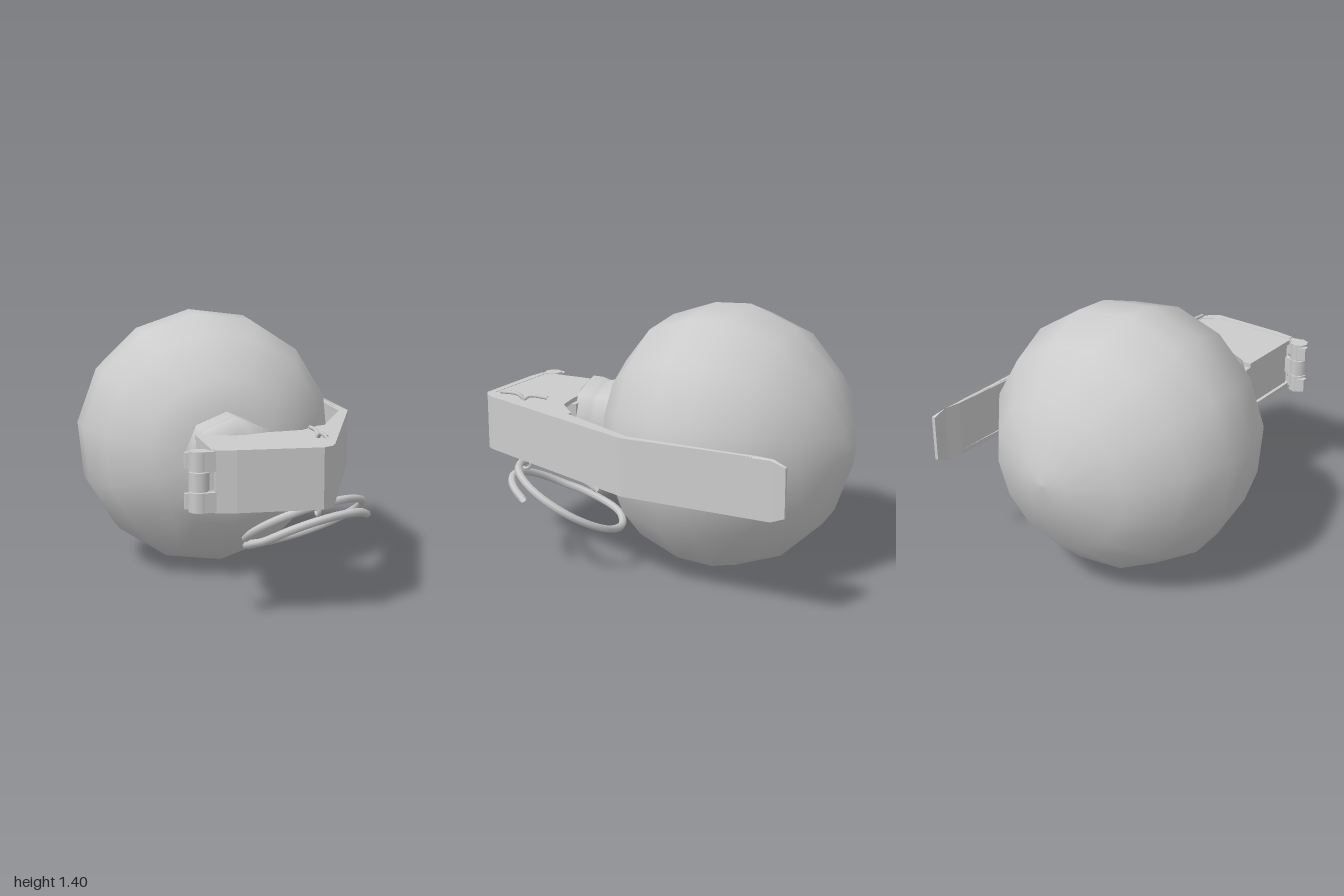
import * as THREE from 'three';

const MID_Y = 0.705; // height of the lever's centre line
const material = new THREE.MeshStandardMaterial({ color: 0xcccccc, side: THREE.DoubleSide });

function add(parent, name, geometry) {
  const mesh = new THREE.Mesh(geometry, material);
  mesh.name = name;
  parent.add(mesh);
  return mesh;
}

// Extrudes an (x, z) plan outline between two heights
function slab(points, y0, y1) {
  const shape = new THREE.Shape(points.map(p => new THREE.Vector2(...p)));
  const g = new THREE.ExtrudeGeometry(shape, { depth: y1 - y0, bevelEnabled: false });
  return g.rotateX(Math.PI / 2).translate(0, y1, 0);
}

// Turns an (r, z) profile about the z axis
function turned(points, sides, phase) {
  const g = new THREE.LatheGeometry(points.map(p => new THREE.Vector2(...p)), sides, phase);
  return g.rotateX(Math.PI / 2).translate(-0.04, 0.703, 0);
}

function rod(points, radius, segments = 12, sides = 6) {
  const curve = new THREE.CatmullRomCurve3(points.map(p => new THREE.Vector3(...p)));
  return new THREE.TubeGeometry(curve, segments, radius, sides);
}

export function createModel() {
  const model = new THREE.Group();
  model.name = 'sphereWithLever';

  // Faceted, smooth-shaded round body
  add(model, 'body', turned([
    [0, -1], [0.13, -0.985], [0.4, -0.875], [0.61, -0.655], [0.705, -0.4],
    [0.695, -0.2], [0.61, 0.045], [0.4, 0.225], [0.22, 0.29], [0, 0.29],
  ], 14, 0.1));

  // Octagonal neck with a shallow groove, tapering into the head
  add(model, 'neck', turned([
    [0.225, 0.26], [0.225, 0.37], [0.215, 0.4], [0.215, 0.43],
    [0.23, 0.45], [0.23, 0.51], [0.16, 0.58], [0, 0.58],
  ], 8, 0));

  // Block under the lever
  add(model, 'head', slab([[-0.24, 0.5], [0.17, 0.5], [0.24, 0.62], [0.24, 0.9],
    [-0.2, 0.95], [-0.24, 0.92]], 0.59, 0.82));

  // Lever: bent strip with chamfered tip
  const lever = new THREE.Group();
  lever.name = 'lever';
  model.add(lever);
  const strip = slab([
    [-0.24, 0.975], [-0.14, 0.99], [0.28, 1], [0.33, 0.965], [0.355, 0.92], [0.73, -0.09],
    [0.733, -0.8], [0.733, -0.89], [0.73, -0.96], [0.71, -0.96], [0.705, -0.89],
    [0.69, -0.8], [0.7, -0.1], [0.33, 0.9], [0.26, 0.96], [-0.24, 0.945],
  ], 0.555, 0.855);
  const pos = strip.attributes.position;
  for (let i = 0; i < pos.count; i++) {
    if (pos.getZ(i) < -0.93) pos.setY(i, MID_Y + (pos.getY(i) - MID_Y) * 0.82);
  }
  strip.computeVertexNormals();
  add(lever, 'leverStrip', strip);

  // Folded edges of the lever, top and bottom
  const flange = [
    [-0.25, 0.52], [0.17, 0.515], [0.31, 0.49], [0.43, 0.37], [0.46, 0.37],
    [0.68, -0.1], [0.69, -0.78], [0.71, -0.78], [0.72, -0.09], [0.345, 0.92],
    [0.28, 0.985], [-0.2, 0.975], [-0.25, 0.93],
  ];
  for (const [name, y] of [['lowerFlange', 0.557], ['upperFlange', 0.828]]) {
    add(lever, name, slab(flange, y, y + 0.025));
  }

  // Hinge on the right edge: outer knuckles, middle knuckle and pin
  const hinge = new THREE.Group();
  hinge.name = 'hinge';
  model.add(hinge);
  const knuckles = [['lowerKnuckle', 0.56, 0.655], ['middleKnuckle', 0.66, 0.75], ['upperKnuckle', 0.755, 0.85]];
  for (const [name, y0, y1] of knuckles) {
    const barrel = new THREE.CylinderGeometry(0.05, 0.05, y1 - y0, 8);
    add(hinge, name, barrel.translate(-0.31, (y0 + y1) / 2, 0.94));
    if (name === 'middleKnuckle') {
      add(hinge, 'middleTab', slab([[-0.31, 0.9], [-0.22, 0.91], [-0.22, 0.94], [-0.31, 0.94]], y0, y1));
    } else {
      add(hinge, name + 'Tab', slab([[-0.31, 0.955], [-0.23, 0.945], [-0.23, 0.975], [-0.31, 0.985]], y0, y1));
      add(hinge, name + 'Lip', slab([[-0.375, 0.9], [-0.34, 0.89], [-0.29, 0.91], [-0.33, 0.94], [-0.375, 0.93]],
        y0 + 0.01, y1 - 0.01));
    }
  }

  // Split pin through the head, with eye below and splayed legs above
  const pin = new THREE.Group();
  pin.name = 'splitPin';
  model.add(pin);
  add(pin, 'pinShaft', rod([[0.325, 0.53, 0.73], [0.325, 0.7, 0.73], [0.325, 0.865, 0.73]], 0.012));
  add(pin, 'pinEye', new THREE.TorusGeometry(0.035, 0.01, 6, 12)
    .rotateY(Math.PI / 2).translate(0.325, 0.5, 0.735));
  for (const side of [-1, 1]) {
    add(pin, 'pinLeg', rod([[0.325, 0.855, 0.73], [0.325, 0.88, 0.73 + side * 0.035],
      [0.325, 0.882, 0.73 + side * 0.15]], 0.01));
  }

  // Pull ring: one flat turn, then half a turn dropping below it
  const coil = [];
  const turns = 1.45, steps = 36;
  for (let i = 0; i <= steps; i++) {
    const t = (i / steps) * turns;
    const a = Math.PI + t * Math.PI * 2;
    const drop = Math.min(1, Math.max(0, (t - 0.9) / 0.2)) * 0.075;
    coil.push([Math.cos(a) * 0.32, -drop, -Math.sin(a) * 0.32]);
  }
  const ring = add(model, 'pullRing', rod(coil, 0.021, 72));
  const normal = new THREE.Vector3(-0.26, 1, -0.52).normalize();
  ring.quaternion.setFromUnitVectors(new THREE.Vector3(0, 1, 0), normal);
  ring.position.set(0.335, 0.365, 0.44);

  return model;
}
